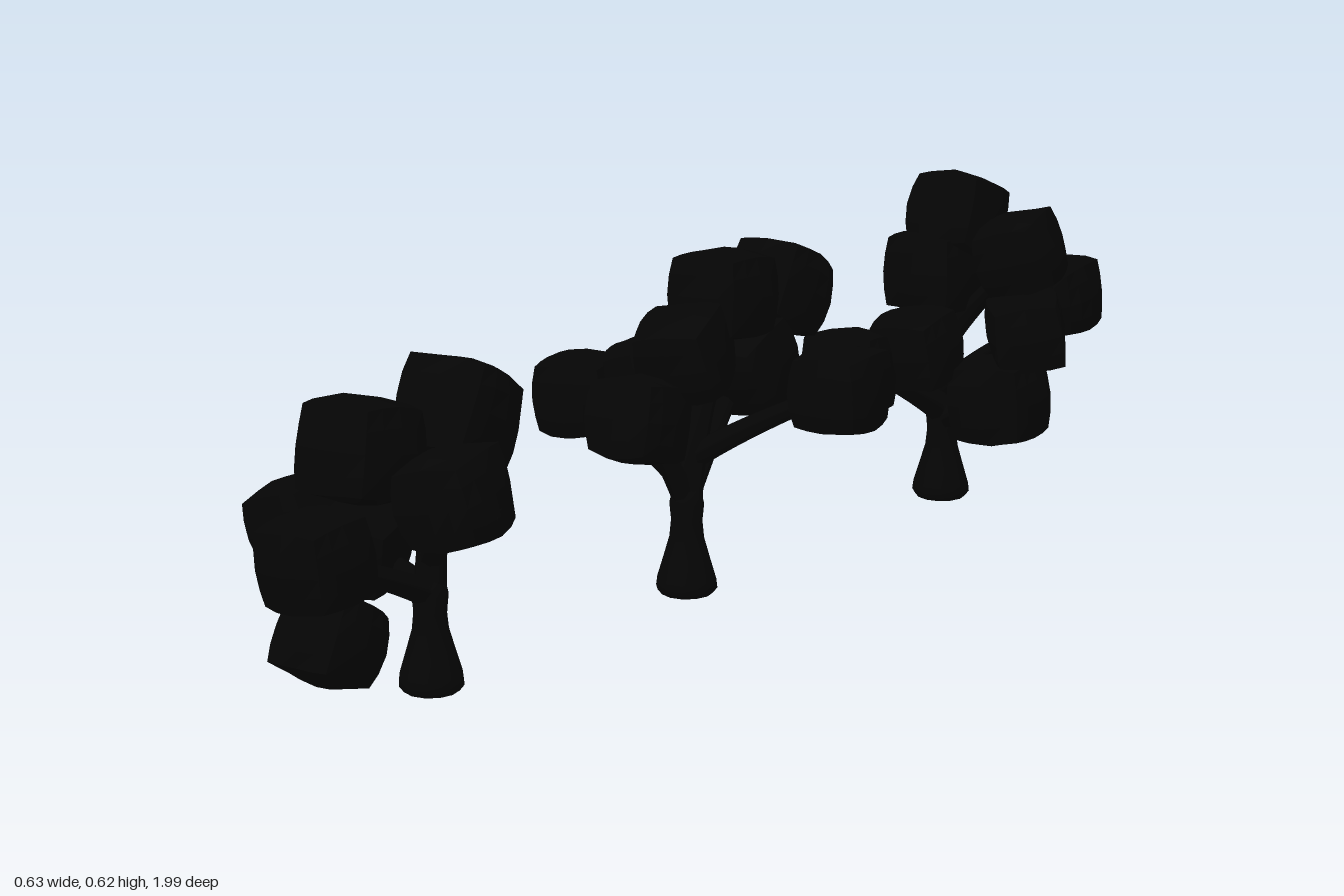
import * as THREE from 'three';

const bark = new THREE.MeshStandardMaterial({ color: 0x050505 });
const leaf = new THREE.MeshStandardMaterial({ color: 0x050505, flatShading: true });

// Cube with bulging sides, softened corners and a slight unevenness
function clumpGeometry(seed) {
  const g = new THREE.BoxGeometry(2, 2, 2, 4, 4, 4);
  const p = g.attributes.position;
  const v = new THREE.Vector3();
  for (let i = 0; i < p.count; i++) {
    v.fromBufferAttribute(p, i);
    const wobble = 1 + 0.04 * Math.sin(3 * v.x + seed) * Math.cos(2 * v.y - 2 * v.z + seed * 1.7);
    const round = v.clone().normalize().multiplyScalar(1.2);
    v.lerp(round, 0.5).multiplyScalar(wobble);
    p.setXYZ(i, v.x, v.y, v.z);
  }
  g.computeVertexNormals();
  return g;
}

// Tube whose rings shrink from r0 to r1 along the curve
function taperedTube(curve, r0, r1) {
  const segs = 10, sides = 8;
  const g = new THREE.TubeGeometry(curve, segs, 1, sides);
  const p = g.attributes.position;
  const v = new THREE.Vector3();
  for (let i = 0; i < p.count; i++) {
    const t = Math.floor(i / (sides + 1)) / segs;
    const c = curve.getPointAt(t);
    v.fromBufferAttribute(p, i).sub(c).multiplyScalar(r0 + (r1 - r0) * t).add(c);
    p.setXYZ(i, v.x, v.y, v.z);
  }
  g.computeVertexNormals();
  return g;
}

function addMesh(group, name, geometry, material) {
  const mesh = new THREE.Mesh(geometry, material);
  mesh.name = name;
  group.add(mesh);
  return mesh;
}

const trunkProfile = [[0, 0], [0.045, 0.002], [0.053, 0.012], [0.051, 0.028], [0.04, 0.065],
  [0.03, 0.1], [0.027, 0.13], [0.03, 0.16], [0.024, 0.185], [0, 0.195]]
  .map(([r, y]) => new THREE.Vector2(r, y));

// A tree at depth z, its main stem rising from the trunk to the point top
function startTree(model, name, z, top) {
  const tree = new THREE.Group();
  tree.name = name;
  model.add(tree);
  addMesh(tree, 'trunk', new THREE.LatheGeometry(trunkProfile, 12), bark).position.set(0.03, 0, z);
  const stem = new THREE.QuadraticBezierCurve3(
    new THREE.Vector3(0.03, 0.13, z), new THREE.Vector3(0.03, 0.27, z), new THREE.Vector3(...top));
  addMesh(tree, 'stem', taperedTube(stem, 0.027, 0.018), bark);

  // Branch leaving the stem at fraction t and ending at a point
  const branch = (x, y, ez, t = 0.1) => {
    const root = stem.getPoint(t);
    const end = new THREE.Vector3(x, y, ez);
    const bend = root.clone().lerp(end, 0.4);
    bend.y = root.y + (y - root.y) * 0.5;
    addMesh(tree, 'branch', taperedTube(new THREE.QuadraticBezierCurve3(root, bend, end), 0.022, 0.014), bark);
  };

  // Leaf clump of half size s, pitched forward or back
  const clump = (x, y, cz, s, pitch, roll = 0.06, yaw = 0.06) => {
    const mesh = addMesh(tree, 'leafClump', clumpGeometry(tree.children.length + z * 9), leaf);
    mesh.position.set(x, y, cz);
    mesh.scale.setScalar(s);
    mesh.rotation.set(pitch, yaw, roll);
  };
  return { branch, clump };
}

export function createModel() {
  const model = new THREE.Group();
  model.name = 'treeRow';

  // Front tree, with one twig poking out of its leaves
  const front = startTree(model, 'frontTree', 0.675, [0.05, 0.43, 0.64]);
  front.clump(0.025, 0.14, 0.89, 0.066, -0.5);
  front.clump(0.025, 0.27, 0.915, 0.07, 0.08);
  front.clump(0.03, 0.425, 0.82, 0.076, -0.2);
  front.clump(0.05, 0.445, 0.625, 0.078, -0.5, 0.06, 0.15);
  front.clump(-0.185, 0.25, 0.735, 0.068, 0.1, 0.3, 0.1);
  front.clump(-0.1, 0.22, 0.69, 0.067, 0.2, -0.3, 0.3);
  front.clump(0.175, 0.365, 0.77, 0.07, 0.1, 0.2, 0.2);
  front.branch(0.02, 0.26, 0.9);
  front.branch(0.03, 0.4, 0.8, 0.4);
  front.branch(-0.1, 0.22, 0.69);
  front.branch(0.175, 0.365, 0.77, 0.3);
  front.branch(0.26, 0.345, 0.75, 0.4);

  // Middle tree
  const middle = startTree(model, 'middleTree', 0.043, [0.03, 0.48, -0.07]);
  middle.clump(-0.235, 0.3, 0.01, 0.068, 0, 0.04, 0.3);
  middle.clump(-0.11, 0.35, -0.015, 0.06, 0.1, 0.2, 0.5);
  middle.clump(0.015, 0.325, 0.15, 0.069, -0.25);
  middle.clump(0.04, 0.425, 0.06, 0.07, 0.3, 0.06, 0.3);
  middle.clump(0.03, 0.505, -0.055, 0.073, -0.1);
  middle.clump(0.03, 0.37, -0.12, 0.07, 0.4);
  middle.clump(0.015, 0.485, -0.225, 0.072, -0.5, 0.02, 0);
  middle.branch(-0.22, 0.3, 0.01, 0.2);
  middle.branch(-0.11, 0.34, -0.015, 0.3);
  middle.branch(0.015, 0.32, 0.14);
  middle.branch(0.015, 0.46, -0.21, 0.15);
  middle.branch(0.235, 0.36, -0.09, 0.35);
  middle.clump(0.245, 0.365, -0.1, 0.068, 0, 0.06, 0.08);

  // Back tree
  const back = startTree(model, 'backTree', -0.706, [0.03, 0.5, -0.72]);
  back.clump(0.035, 0.53, -0.735, 0.072, -0.4);
  back.clump(0.015, 0.43, -0.695, 0.074, -0.1);
  back.clump(0.185, 0.483, -0.72, 0.067, 0.2, 0.25, 0.2);
  back.clump(0.225, 0.35, -0.685, 0.066, 0.1, 0.1, 0.7);
  back.clump(0.18, 0.22, -0.67, 0.076, 0, 0.08, 0.15);
  back.clump(0.065, 0.315, -0.57, 0.067, 0.15, 0.08, 0.1);
  back.clump(0, 0.285, -0.455, 0.072, -0.15, 0.08, 0.25);
  back.clump(0.135, 0.36, -0.925, 0.067, 0.1);
  back.branch(0.18, 0.46, -0.71, 0.5);
  back.branch(0.21, 0.34, -0.68, 0.25);
  back.branch(0.17, 0.22, -0.67, 0.05);
  back.branch(0.01, 0.29, -0.48);
  back.branch(0.135, 0.35, -0.9, 0.15);
  return model;
}
